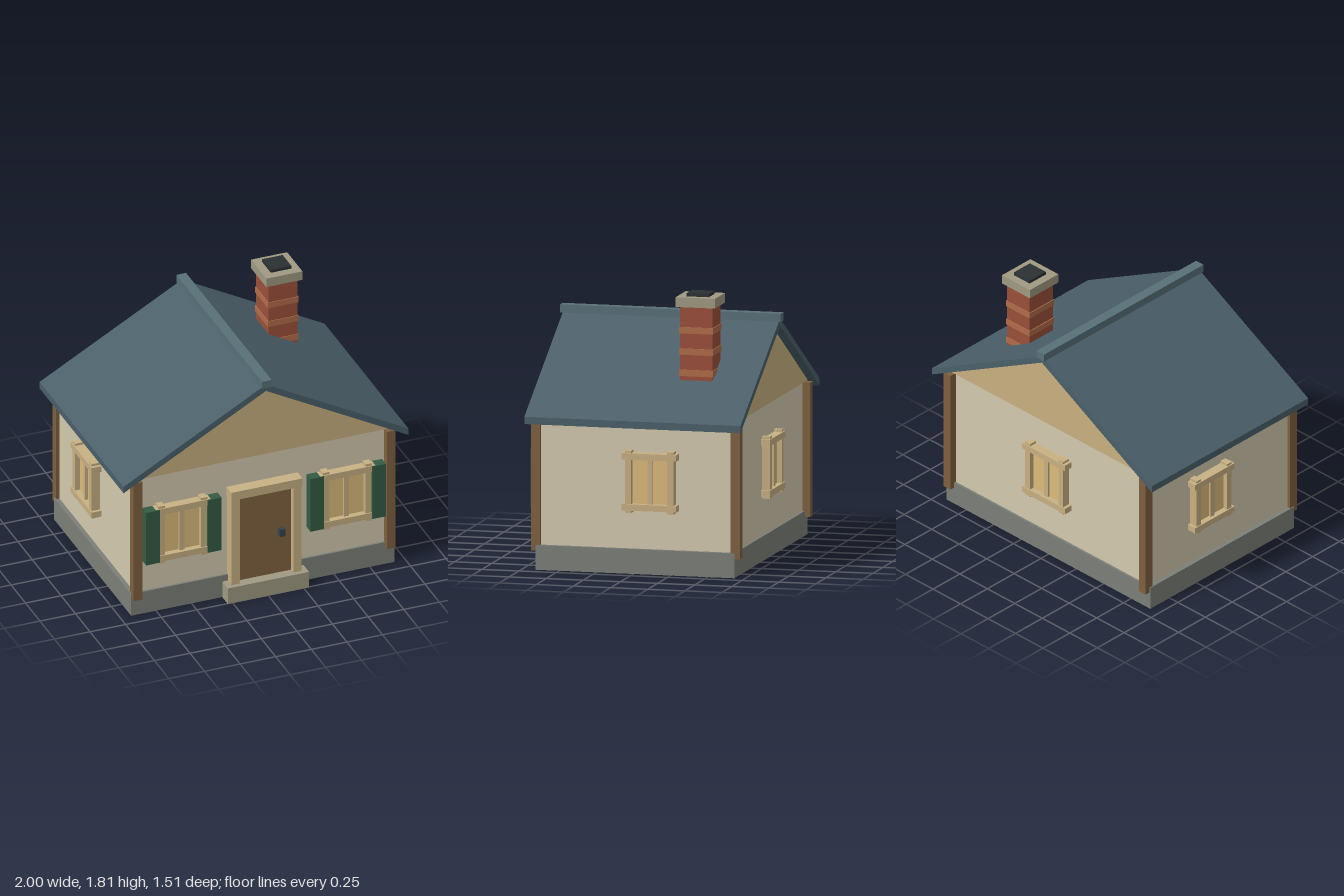
import * as THREE from 'three';

const COLORS = {
  stone: 0x7c7f78, plaster: 0xd4cab0, timber: 0x7f6040, gable: 0xc8b080, trim: 0xc8b083,
  roof: 0x4a5f69, ridge: 0x587078, door: 0x806240, shutter: 0x335c44, pane: 0xdcbb7c,
  brick: 0x9b4f3a, band: 0xb06c4a, cap: 0xa09a82, dark: 0x2b3033, metal: 0x34424c,
};
const MATS = {};
for (const key in COLORS) MATS[key] = new THREE.MeshStandardMaterial({ color: COLORS[key] });

function add(parent, name, geometry, mat) {
  const mesh = new THREE.Mesh(geometry, MATS[mat]);
  mesh.name = name;
  parent.add(mesh);
  return mesh;
}

// Box given by its extents on each axis
function box(parent, name, mat, [x0, x1], [y0, y1], [z0, z1]) {
  const mesh = add(parent, name, new THREE.BoxGeometry(x1 - x0, y1 - y0, z1 - z0), mat);
  mesh.position.set((x0 + x1) / 2, (y0 + y1) / 2, (z0 + z1) / 2);
  return mesh;
}

// Outline in the xy plane extruded between two z positions
function prism(parent, name, mat, points, z0, z1) {
  const shape = new THREE.Shape(points.map(([x, y]) => new THREE.Vector2(x, y)));
  const geometry = new THREE.ExtrudeGeometry(shape, { depth: z1 - z0, bevelEnabled: false });
  geometry.translate(0, 0, z0);
  return add(parent, name, geometry, mat);
}

// Two-pane window facing +z, its back on z = 0, centred on x and y
function makeWindow(name, sx, sy, shutters) {
  const g = new THREE.Group();
  g.name = name;
  const frame = new THREE.Group();
  frame.name = 'windowFrame';
  frame.scale.set(sx, sy, 1);
  g.add(frame);
  box(frame, 'panes', 'pane', [-0.13, 0.13], [-0.16, 0.16], [-0.02, 0.022]);
  box(frame, 'mullion', 'trim', [-0.017, 0.017], [-0.15, 0.15], [0, 0.04]);
  for (const s of [-1, 1]) {
    const stile = box(frame, 'stile', 'trim', [-0.021, 0.021], [-0.205, 0.205], [-0.02, 0.055]);
    stile.position.x = s * 0.142;
    const rail = box(frame, 'rail', 'trim', [-0.184, 0.184], [-0.021, 0.021], [-0.02, 0.062]);
    rail.position.y = s * 0.168;
    if (shutters) {
      const shutter = box(g, 'shutter', 'shutter', [-0.048, 0.048], [-0.198, 0.198], [-0.01, 0.07]);
      shutter.position.x = s * 0.217;
    }
  }
  return g;
}

export function createModel() {
  const house = new THREE.Group();
  house.name = 'cottage';

  // Base and walls
  box(house, 'foundation', 'stone', [-0.925, 0.925], [0, 0.163], [-0.68, 0.66]);
  box(house, 'walls', 'plaster', [-0.895, 0.895], [0.16, 1.02], [-0.665, 0.645]);
  for (const x of [-0.888, 0.888]) {
    for (const z of [0.66, -0.685]) {
      box(house, 'cornerPost', 'timber', [x - 0.031, x + 0.031], [0.125, 1.01], [z - 0.031, z + 0.031]);
    }
  }

  // Gable ends and roof
  prism(house, 'gable', 'gable', [[-0.915, 1.018], [0.915, 1.018], [0, 1.525]], -0.685, 0.665);
  prism(house, 'roof', 'roof',
    [[-1, 0.97], [0, 1.522], [1, 0.97], [1, 1.018], [0, 1.57], [-1, 1.018]], -0.742, 0.714);
  box(house, 'ridgeCap', 'ridge', [-0.034, 0.034], [1.552, 1.606], [-0.755, 0.73]);

  // Chimney
  const chimney = new THREE.Group();
  chimney.name = 'chimney';
  house.add(chimney);
  box(chimney, 'chimneyStack', 'brick', [0.4, 0.603], [1.237, 1.725], [-0.447, -0.23]);
  for (const y of [1.286, 1.426, 1.567]) {
    box(chimney, 'brickBand', 'band', [0.394, 0.609], [y - 0.021, y + 0.021], [-0.452, -0.225]);
  }
  box(chimney, 'chimneyCap', 'cap', [0.374, 0.628], [1.722, 1.786], [-0.47, -0.205]);
  box(chimney, 'flue', 'dark', [0.43, 0.574], [1.78, 1.807], [-0.415, -0.265]);

  // Entrance
  const entrance = new THREE.Group();
  entrance.name = 'entrance';
  house.add(entrance);
  box(entrance, 'doorstep', 'cap', [-0.285, 0.285], [0, 0.117], [0.6, 0.756]);
  box(entrance, 'door', 'door', [-0.19, 0.19], [0.117, 0.757], [0.62, 0.685]);
  for (const s of [-1, 1]) {
    const jamb = box(entrance, 'doorJamb', 'trim', [-0.029, 0.029], [0.117, 0.757], [0.63, 0.725]);
    jamb.position.x = s * 0.217;
  }
  box(entrance, 'lintel', 'trim', [-0.25, 0.25], [0.755, 0.816], [0.63, 0.73]);
  box(entrance, 'doorHandle', 'metal', [0.097, 0.135], [0.4, 0.453], [0.68, 0.72]);

  // Windows: two shuttered in front, one on each side, one at the back
  const windows = [
    ['frontRightWindow', -0.577, 0.589, 0.645, 0, 1.05, 1.05, true],
    ['frontLeftWindow', 0.577, 0.589, 0.645, 0, 1.05, 1.05, true],
    ['leftWindow', 0.9, 0.611, -0.115, Math.PI / 2, 1, 1, false],
    ['rightWindow', -0.9, 0.611, -0.115, -Math.PI / 2, 1, 1, false],
    ['backWindow', 0, 0.611, -0.665, Math.PI, 1.06, 1, false],
  ];
  for (const [name, x, y, z, turn, sx, sy, shutters] of windows) {
    const w = makeWindow(name, sx, sy, shutters);
    w.position.set(x, y, z);
    w.rotation.y = turn;
    house.add(w);
  }
  return house;
}
